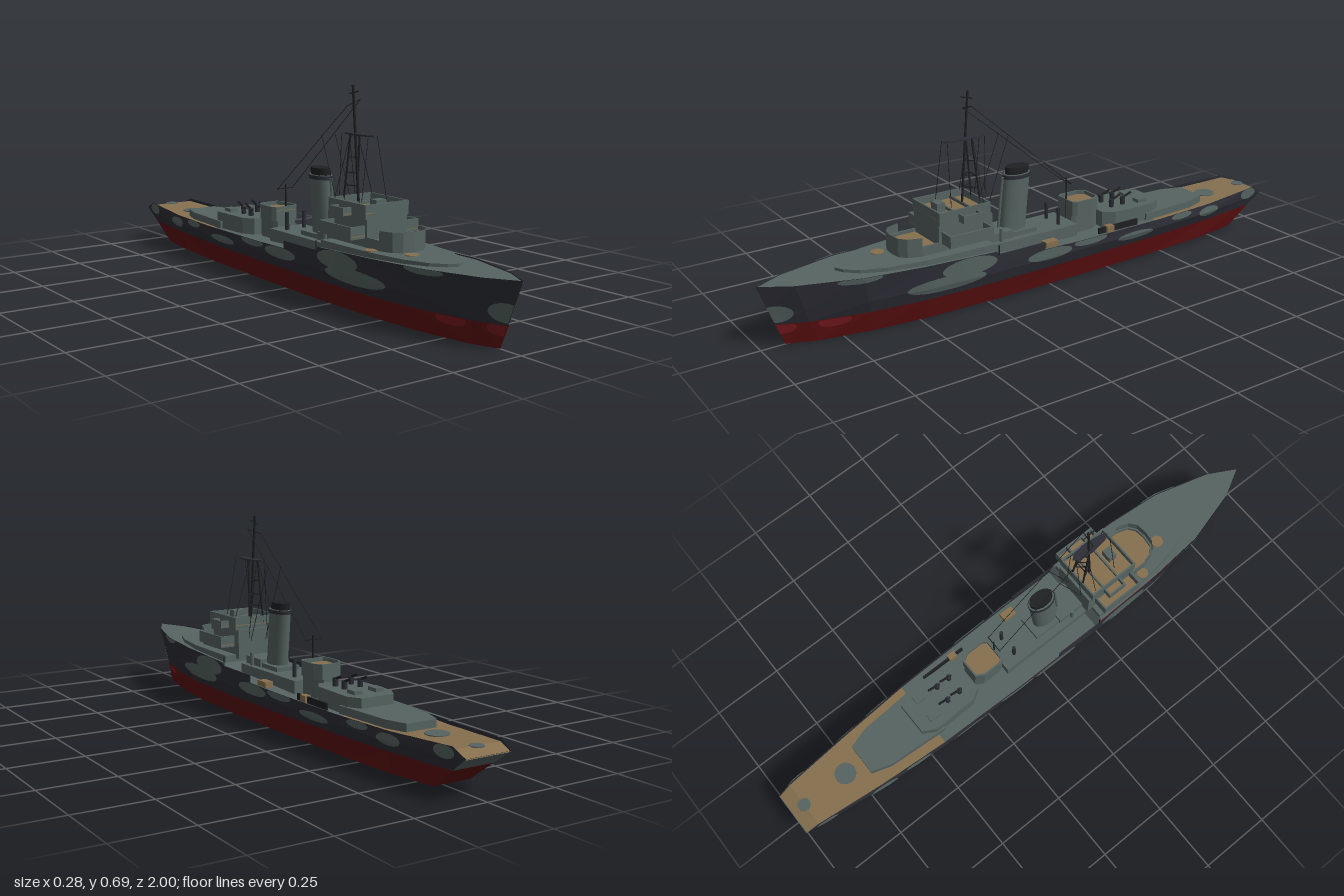
import * as THREE from 'three';

const paint = (name, color) => new THREE.MeshStandardMaterial({ name, color, side: THREE.DoubleSide });
const grey = paint('hull grey', 0x566461);
const dark = paint('dark camouflage', 0x2d2e36);
const red = paint('antifouling red', 0x5e1011);
const lightRed = paint('faded red', 0x7a1a1f);
const tan = paint('deck tan', 0x86704f);
const black = paint('rigging black', 0x1e2022);

// Hull stations: deck z, keel z, keel y, half widths (keel, boot line, knuckle, deck), deck edge y
const stations = [
  [1, 0.92, 0.003, 0, 0, 0, 0, 0.212],
  [0.9, 0.83, 0.003, 0.035, 0.041, 0.047, 0.055, 0.21],
  [0.7, 0.66, 0.004, 0.07, 0.088, 0.1, 0.112, 0.206],
  [0.5, 0.48, 0.005, 0.09, 0.112, 0.125, 0.13, 0.2],
  [0.24, 0.24, 0.007, 0.1, 0.123, 0.135, 0.136, 0.192],
  [0.22, 0.22, 0.007, 0.1, 0.123, 0.135, 0.136, 0.158],
  [-0.1, -0.1, 0.01, 0.102, 0.122, 0.135, 0.135, 0.152],
  [-0.45, -0.45, 0.013, 0.098, 0.115, 0.13, 0.127, 0.15],
  [-0.7, -0.68, 0.016, 0.088, 0.1, 0.115, 0.11, 0.15],
  [-0.95, -0.82, 0.018, 0.07, 0.08, 0.088, 0.086, 0.16],
  [-1, -0.85, 0.019, 0.066, 0.073, 0.079, 0.08, 0.135],
];
const bootY = (z) => 0.075 + 0.006 * (1 - z);
const lerp = THREE.MathUtils.lerp;
const levels = (s) => [s[2], bootY(s[0]), 0.12, s[7]];
const stationZ = (s, y) => lerp(s[1], s[0], Math.min(1, (y - s[2]) / (s[7] - s[2])));
const hullPoint = (s, k, side) => {
  const y = levels(s)[k];
  return [side * s[3 + k], y, stationZ(s, y)];
};

// Half width of a station at height y
function stationWidth(s, y) {
  const l = levels(s);
  for (let k = 0; k < 3; k++) {
    if (y <= l[k + 1]) return lerp(s[3 + k], s[4 + k], Math.max(0, (y - l[k]) / (l[k + 1] - l[k])));
  }
  return s[6];
}

// Point on the hull side near z, y, pushed out a little
function onHull(z, y, side) {
  for (let i = 0; i < stations.length - 1; i++) {
    const a = stations[i], b = stations[i + 1];
    const za = stationZ(a, y), zb = stationZ(b, y);
    if (z >= zb || i === stations.length - 2) {
      const t = THREE.MathUtils.clamp((za - z) / (za - zb), 0, 1);
      const yy = Math.min(y, lerp(a[7], b[7], t));
      return [side * (lerp(stationWidth(a, yy), stationWidth(b, yy), t) + 0.003), yy, lerp(za, zb, t)];
    }
  }
}

// Flat-shaded skin over rows of points
function loft(rows) {
  const pos = [];
  for (let i = 0; i < rows.length - 1; i++) {
    for (let j = 0; j < rows[i].length - 1; j++) {
      const a = rows[i][j], b = rows[i + 1][j], c = rows[i + 1][j + 1], d = rows[i][j + 1];
      pos.push(...a, ...b, ...c, ...a, ...c, ...d);
    }
  }
  const g = new THREE.BufferGeometry();
  g.setAttribute('position', new THREE.Float32BufferAttribute(pos, 3));
  g.computeVertexNormals();
  return g;
}

export function createModel() {
  const root = new THREE.Group();
  root.name = 'warship';
  const add = (name, geo, mat) => {
    const m = new THREE.Mesh(geo, mat);
    m.name = name;
    root.add(m);
    return m;
  };
  const box = (name, mat, x0, x1, y0, y1, z0, z1) =>
    add(name, new THREE.BoxGeometry(x1 - x0, y1 - y0, z1 - z0), mat)
      .position.set((x0 + x1) / 2, (y0 + y1) / 2, (z0 + z1) / 2);
  const rod = (name, a, b, r, mat = black) => {
    const A = new THREE.Vector3(...a), B = new THREE.Vector3(...b), d = B.clone().sub(A);
    const m = add(name, new THREE.CylinderGeometry(r, r, d.length(), 6), mat);
    m.position.copy(A).add(B).multiplyScalar(0.5);
    m.quaternion.setFromUnitVectors(new THREE.Vector3(0, 1, 0), d.normalize());
  };
  // Symmetric plan outline [x, z], given for the left half only
  const full = (half) => [...half, ...half.filter((p) => p[0] > 0).reverse().map(([x, z]) => [-x, z])];
  const slab = (name, mat, half, y0, y1, inset = 0) => {
    const pts = full(half);
    const shape = new THREE.Shape(pts.map(([x, z]) => new THREE.Vector2(x, -z)));
    if (inset) {
      const zs = pts.map((p) => p[1]), lo = Math.min(...zs), hi = Math.max(...zs), mid = (lo + hi) / 2;
      const w = Math.max(...pts.map((p) => p[0]));
      const kx = 1 - inset / w, kz = 1 - (2 * inset) / (hi - lo);
      shape.holes.push(new THREE.Path(pts.map(([x, z]) => new THREE.Vector2(x * kx, -(mid + (z - mid) * kz)))));
    }
    const g = new THREE.ExtrudeGeometry(shape, { depth: y1 - y0, bevelEnabled: false });
    g.rotateX(-Math.PI / 2);
    add(name, g, mat).position.y = y0;
  };
  const tub = (name, half, y0, floor, y1) => {
    slab(name + 'Base', grey, half, y0, floor);
    slab(name + 'Floor', tan, half.map(([x, z]) => [x * 0.99, z]), floor - 0.001, floor + 0.002);
    slab(name + 'Parapet', grey, half, floor, y1, 0.006);
  };

  // Hull shell
  for (const side of [-1, 1]) {
    const row = (k) => stations.map((s) => hullPoint(s, k, side));
    add('hullLower', loft([row(0), row(1)]), red);
    add('hullUpper', loft([row(1), row(2), row(3)]), dark);
  }
  add('hullBottom', loft([-1, 1].map((s) => stations.map((t) => hullPoint(t, 0, s)))), red);
  const last = stations[stations.length - 1];
  const across = (k) => [-1, 1].map((s) => hullPoint(last, k, s));
  add('transomLower', loft([across(0), across(1)]), red);
  add('transomUpper', loft([across(1), across(2), across(3)]), grey);

  // Decks sit just below the hull edge
  const deckRow = (s) => [-1, 1].map((k) => [k * s[6] * 0.98, s[7] - (s[0] < 0.2 && s[0] > -1 ? 0.01 : 0.003), s[0]]);
  add('foreDeck', loft(stations.slice(0, 8).map(deckRow)), grey);
  add('aftDeck', loft(stations.slice(7).map(deckRow)), tan);

  // Camouflage patches: z, y, z radius, y radius
  const patch = (mat, z, y, rz, ry, lo, hi) => {
    for (const side of [-1, 1]) {
      const rows = [];
      for (let r = 0; r <= 5; r++) {
        rows.push(Array.from({ length: 25 }, (_, i) => {
          const a = (i / 24) * Math.PI * 2;
          const yy = THREE.MathUtils.clamp(y + (ry * r * Math.sin(a)) / 5, lo, hi);
          return onHull(z + (rz * r * Math.cos(a)) / 5, yy, side);
        }));
      }
      add('camouflagePatch', loft(rows), mat);
    }
  };
  [[0.95, 0.112, 0.05, 0.03], [0.42, 0.125, 0.14, 0.025], [0.34, 0.165, 0.1, 0.03], [0.71, 0.2, 0.07, 0.012],
    [0.03, 0.135, 0.09, 0.02], [-0.14, 0.145, 0.07, 0.014], [-0.34, 0.118, 0.08, 0.014], [-0.56, 0.14, 0.05, 0.012],
    [-0.7, 0.125, 0.05, 0.018], [-0.92, 0.14, 0.04, 0.02]].forEach((p) => patch(grey, ...p, bootY(p[0]) + 0.002, 0.3));
  [[0.93, 0.062, 0.04, 0.02], [0.78, 0.066, 0.05, 0.018]].forEach((p) => patch(lightRed, ...p, 0.01, 0.075));

  // Painted spots on the decks: x, z, y, radius
  const spot = (mat, x, z, y, r) =>
    add('deckSpot', new THREE.CylinderGeometry(r, r, 0.003, 20), mat).position.set(x, y, z);
  spot(grey, 0, -0.78, 0.146, 0.037);
  spot(grey, 0, -0.95, 0.15, 0.022);
  spot(tan, -0.035, 0.58, 0.214, 0.022);
  spot(tan, -0.095, 0.46, 0.214, 0.02);

  // Forecastle platform and side bulwarks
  slab('forecastlePlatform', grey,
    [[0, 0.745], [0.03, 0.73], [0.065, 0.69], [0.095, 0.61], [0.115, 0.48], [0.122, 0.24], [0, 0.24]], 0.185, 0.213);
  for (const s of [-1, 1]) {
    box('sideBulwark', dark, s * 0.134 - 0.002, s * 0.134 + 0.002, 0.145, 0.18, 0.05, 0.23);
    rod('bulwarkPost', [s * 0.134, 0.17, 0.23], [s * 0.134, 0.212, 0.23], 0.002);
  }

  // Forward gun shelter
  const shelter = [[0, 0.55], [0.04, 0.545], [0.065, 0.525], [0.08, 0.48], [0.08, 0.41], [0, 0.41]];
  tub('gunShelter', shelter, 0.2, 0.232, 0.245);
  const arc = full(shelter.slice(0, 4)).sort((a, b) => a[0] - b[0]);
  add('gunShield', loft([0.24, 0.275].map((y) => arc.map(([x, z]) => [x, y, z]))), grey);

  // Bridge: house, lower wings, open upper bridge
  const rect = (x, z0, z1) => [[0, z1], [x, z1], [x, z0], [0, z0]];
  slab('bridgeHouse', grey, rect(0.08, 0.22, 0.42), 0.2, 0.303);
  tub('lowerBridgeWings', rect(0.135, 0.25, 0.41), 0.24, 0.248, 0.28);
  tub('upperBridgeWings', rect(0.118, 0.28, 0.35), 0.304, 0.309, 0.33);
  tub('upperBridge', rect(0.086, 0.23, 0.42), 0.3, 0.318, 0.345);
  box('compassStand', grey, -0.02, 0.02, 0.318, 0.35, 0.36, 0.39);

  // Midship and aft deckhouses
  box('midshipHouse', grey, -0.07, 0.07, 0.14, 0.185, -0.13, 0.22);
  box('boilerCasing', grey, -0.05, 0.05, 0.18, 0.212, 0.12, 0.22);
  box('funnelBase', grey, -0.045, 0.045, 0.18, 0.2, 0.02, 0.14);
  const aftTub = [[0, -0.13], [0.042, -0.13], [0.052, -0.145], [0.052, -0.215], [0.035, -0.243], [0, -0.243]];
  slab('aftTubPedestal', grey, aftTub.map(([x, z]) => [x * 0.85, z]), 0.14, 0.208);
  tub('aftTub', aftTub, 0.205, 0.24, 0.255);
  slab('aftHouse', grey,
    [[0, -0.25], [0.055, -0.25], [0.08, -0.29], [0.085, -0.45], [0.06, -0.495], [0, -0.495]], 0.14, 0.198);
  slab('aftLowHouse', grey, [[0, -0.42], [0.092, -0.42], [0.078, -0.64], [0.055, -0.71], [0, -0.71]], 0.135, 0.166);

  // Raked funnel with dark cap
  const funnelPart = (name, mat, y0, y1, rx, rz) => {
    const g = new THREE.CylinderGeometry(1, 1, y1 - y0, 20).scale(rx, 1, rz).translate(0, (y0 + y1) / 2, 0);
    g.applyMatrix4(new THREE.Matrix4().set(1, 0, 0, 0, 0, 1, 0, 0, 0, -0.1, 1, 0.111, 0, 0, 0, 1));
    add(name, g, mat);
  };
  funnelPart('funnel', grey, 0.19, 0.392, 0.031, 0.049);
  funnelPart('funnelCollar', dark, 0.378, 0.39, 0.034, 0.052);
  funnelPart('funnelCap', black, 0.39, 0.415, 0.026, 0.044);
  rod('steamPipe', [0, 0.2, 0.148], [0, 0.385, 0.128], 0.005, grey);

  // Tripod mast, platform and yard
  rod('mastPole', [-0.005, 0.32, 0.283], [-0.007, 0.697, 0.252], 0.0042);
  for (const s of [-1, 1]) {
    rod('mastLeg', [s * 0.028, 0.32, 0.232], [s * 0.018, 0.545, 0.256], 0.0032);
    for (const y of [0.38, 0.42, 0.47]) {
      const t = (y - 0.32) / 0.225;
      rod('mastBrace', [s * (0.028 - 0.01 * t), y, 0.232 + 0.024 * t], [-0.005, y, 0.283 - 0.083 * (y - 0.32)], 0.002);
    }
    rod('foreStay', [s * 0.018, 0.543, 0.345], [s * 0.05, 0.34, 0.355], 0.0011);
    rod('sideStay', [s * 0.015, 0.543, 0.25], [s * 0.075, 0.345, 0.25], 0.0011);
    rod('aftStay', [s * 0.015, 0.543, 0.205], [s * 0.04, 0.25, 0.222], 0.0011);
  }
  rod('mastRung', [-0.024, 0.42, 0.243], [0.024, 0.42, 0.243], 0.002);
  slab('mastPlatform', dark, [[0, 0.35], [0.012, 0.33], [0.02, 0.27], [0.015, 0.22], [0, 0.2]], 0.541, 0.546);
  rod('yard', [-0.032, 0.634, 0.256], [0.02, 0.652, 0.256], 0.002);
  rod('mastSpur', [-0.006, 0.67, 0.235], [-0.006, 0.68, 0.28], 0.002);

  // Aft mast and aerial wires
  rod('aftMast', [0, 0.18, -0.132], [0, 0.332, -0.134], 0.003);
  rod('aftYard', [-0.035, 0.318, -0.134], [0.03, 0.318, -0.134], 0.0018);
  rod('aerialWire', [-0.032, 0.634, 0.256], [-0.033, 0.318, -0.134], 0.0011);
  rod('aerialWire', [0.02, 0.652, 0.256], [0.028, 0.318, -0.134], 0.0011);
  rod('aerialDrop', [-0.032, 0.53, 0.12], [-0.03, 0.25, 0.225], 0.0011);
  rod('aerialDrop', [0.022, 0.53, 0.12], [0.03, 0.25, 0.225], 0.0011);

  // Vents, light guns and deck gear
  for (const s of [-1, 1]) {
    rod('vent', [s * 0.035, 0.18, -0.075], [s * 0.035, 0.245, -0.075], 0.007, dark);
    rod('ventPipe', [s * 0.055, 0.15, 0.17], [s * 0.055, 0.23, 0.17], 0.007, grey);
    for (const z of [-0.31, -0.36]) {
      rod('gunPedestal', [s * 0.03, 0.19, z], [s * 0.03, 0.225, z], 0.009, dark);
      rod('gunBarrel', [s * 0.03, 0.218, z + 0.01], [s * 0.03, 0.236, z - 0.035], 0.004);
    }
    box('deckLocker', grey, s * 0.04 - 0.015, s * 0.04 + 0.015, 0.195, 0.21, -0.45, -0.41);
  }
  box('deckRail', black, 0.098, 0.104, 0.14, 0.163, -0.37, -0.2);
  box('deckCrate', tan, 0.085, 0.115, 0.14, 0.165, -0.02, 0.03);
  box('deckCrate', tan, 0.09, 0.112, 0.14, 0.165, -0.26, -0.23);
  return root;
}
